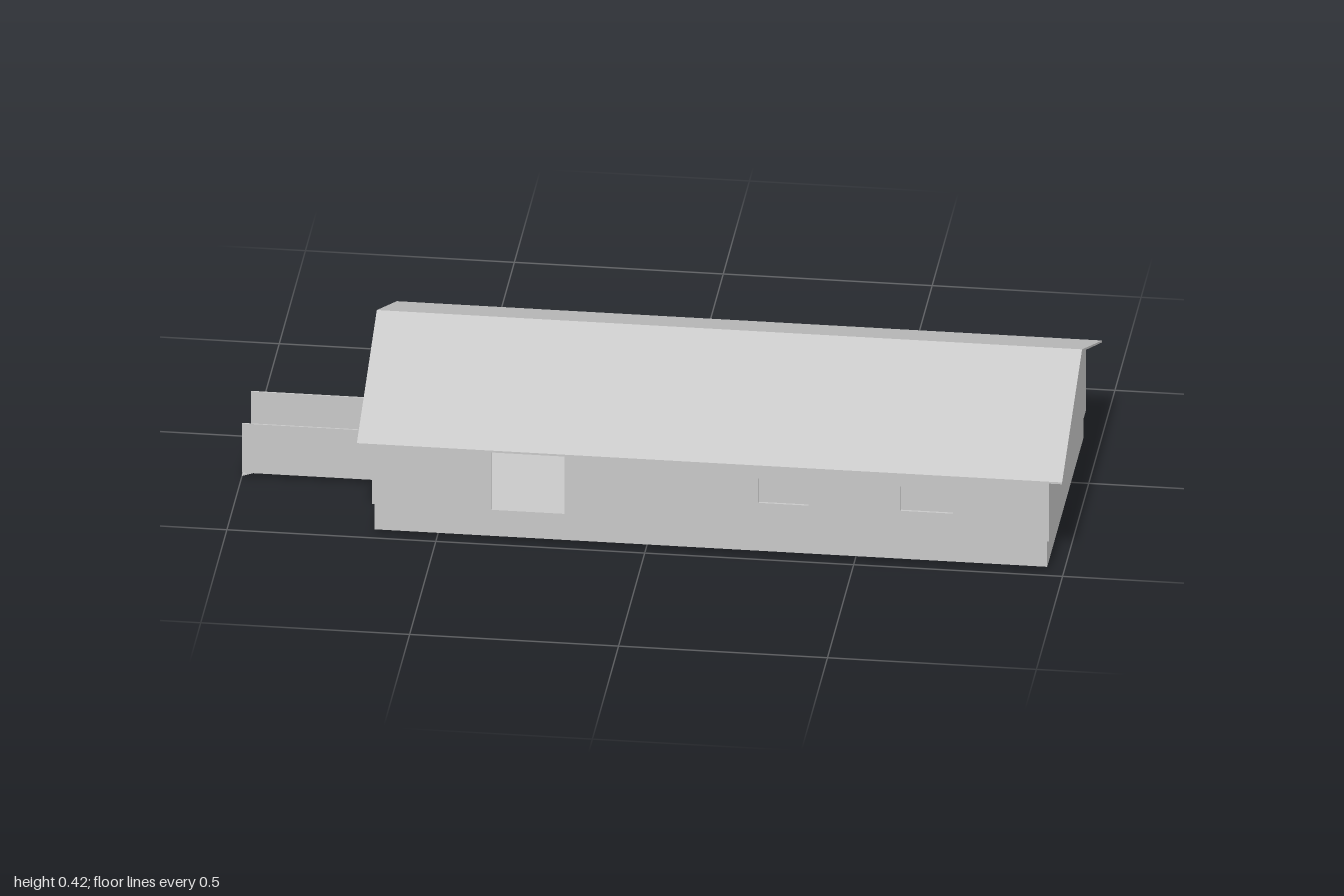
import * as THREE from 'three';

const grey = new THREE.MeshStandardMaterial({ color: 0xc8c8c8 });
grey.name = 'plain grey';

const X0 = -0.655, X1 = 0.965; // outer faces of the end walls
const Z0 = -0.225, Z1 = 0.48; // outer faces of the long walls
const FLOOR = 0.08, EAVE = 0.265, T = 0.01;
const RIDGE_Y = 0.418, RIDGE_Z = 0.127;

export function createModel() {
  const house = new THREE.Group();
  house.name = 'house';

  const add = (name, geometry, x = 0, y = 0, z = 0, ry = 0) => {
    const mesh = new THREE.Mesh(geometry, grey);
    mesh.name = name;
    mesh.position.set(x, y, z);
    mesh.rotation.y = ry;
    house.add(mesh);
  };

  // Box given by its limits on each axis
  const box = (name, x0, x1, y0, y1, z0, z1) =>
    add(name, new THREE.BoxGeometry(x1 - x0, y1 - y0, z1 - z0),
      (x0 + x1) / 2, (y0 + y1) / 2, (z0 + z1) / 2);

  // Flat outline with rectangular openings [u0, u1, v0, v1]
  const slab = (points, depth, openings = []) => {
    const shape = new THREE.Shape(points.map(([u, v]) => new THREE.Vector2(u, v)));
    for (const [u0, u1, v0, v1] of openings) {
      shape.holes.push(new THREE.Path([[u0, v0], [u0, v1], [u1, v1], [u1, v0]]
        .map(([u, v]) => new THREE.Vector2(u, v))));
    }
    return new THREE.ExtrudeGeometry(shape, { depth, bevelEnabled: false });
  };

  // Foundation, its top being the floor of the rooms
  box('foundation', X0 + 0.005, X1 - 0.005, 0.01, FLOOR, Z0 + 0.006, Z1 - 0.006);

  // Long walls with the large front opening, two windows and a back opening
  const longWall = [[X0, FLOOR], [X1, FLOOR], [X1, EAVE], [X0, EAVE]];
  const windows = [[0.27, 0.39, 0.14, 0.205], [0.61, 0.735, 0.14, 0.205]];
  add('frontWall', slab(longWall, T, [[-0.37, -0.195, 0.082, 0.25], ...windows]), 0, 0, Z1 - T);
  add('backWall', slab(longWall, T, [[0.085, 0.15, 0.082, 0.2]]), 0, 0, Z0);
  for (const [x0, x1, y0, y1] of windows) {
    box('windowPane', x0, x1, y0, y1, Z1 - T, Z1 - 0.006);
  }

  // Gable walls, the one by the ramp with a doorway
  const gable = [[Z0, FLOOR], [Z1, FLOOR], [Z1, 0.26], [RIDGE_Z, RIDGE_Y - 0.006], [Z0, 0.26]];
  add('leftGable', slab(gable, T), X1, 0, 0, -Math.PI / 2);
  add('rightGable', slab(gable, T, [[0.042, 0.21, 0.082, 0.25]]), X0 + T, 0, 0, -Math.PI / 2);

  // Thin pitched roof with overhanging eaves
  const roof = [[-0.255, 0.253], [-0.255, 0.248], [RIDGE_Z, RIDGE_Y - 0.006],
    [0.508, 0.248], [0.508, 0.253], [RIDGE_Z, RIDGE_Y]];
  add('roof', slab(roof, 1.688), 1, 0, 0, -Math.PI / 2);

  // Back deck with a low rail
  box('deckFloor', X0 + 0.002, 0.04, 0.01, 0.016, -0.508, Z0 + 0.01);
  box('deckRail', X0 + 0.002, 0.04, 0.01, 0.075, -0.51, -0.505);

  // Entrance ramp: floor with a sloping lip, and two side walls
  const rampProfile = [[-1, 0], [-0.97, 0.01], [X0 + 0.006, 0.01], [X0 + 0.006, 0.015],
    [-0.97, 0.015], [-1, 0.004]];
  add('rampFloor', slab(rampProfile, 0.172), 0, 0, 0.039);
  for (const z of [0.037, 0.209]) {
    box('rampSide', -1, X0 + 0.003, 0.01, 0.14, z, z + 0.004);
  }

  return house;
}
